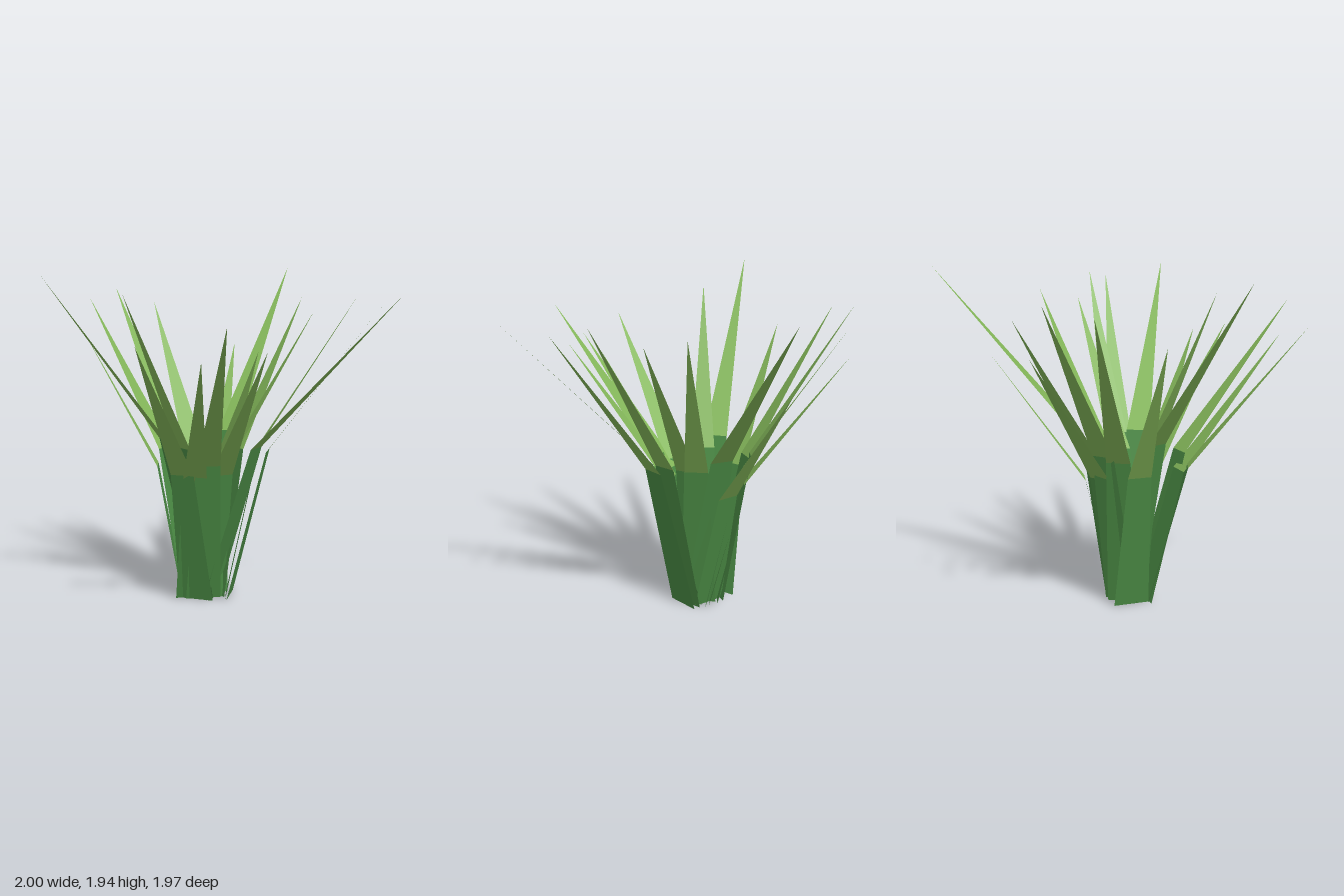
import * as THREE from 'three';

// Each blade: base x, base z, tip x, tip y, tip z
const BLADES = [
  [-0.12, 0.035, -0.63, 1.94, -0.99],
  [-0.17, -0.03, -0.63, 1.46, -0.55],
  [-0.11, -0.02, -0.07, 1.78, -0.65],
  [-0.11, 0.07, 0.17, 1.72, -0.55],
  [-0.04, -0.05, 0.45, 1.85, -0.67],
  [-0.02, -0.065, 0.65, 1.81, -0.69],
  [-0.09, 0.02, 1.0, 1.87, -0.49],
  [-0.1, 0.05, 0.47, 1.54, 0.1],
  [-0.11, 0.03, 0.68, 1.56, 0.2],
  [-0.07, 0.095, 0.81, 1.72, 0.56],
  [-0.11, 0.14, 0.64, 1.53, 0.6],
  [-0.075, 0.145, 0.45, 1.61, 0.88],
  [-0.13, 0.06, -0.11, 1.84, 0.61],
  [-0.147, 0.055, -0.36, 1.94, 0.98],
  [-0.235, 0.135, -0.57, 1.6, 0.6],
  [-0.22, 0.08, -0.89, 1.77, 0.37],
  [-0.22, 0.05, -1.0, 1.83, 0.12],
  [-0.18, 0.02, -0.97, 1.54, 0.01],
  [-0.17, -0.01, -0.94, 1.73, -0.13],
];
const BASE_HALF_WIDTH = 0.105;
const JOINT_HALF_WIDTH = 0.07;

function flatMesh(points, index, material, name) {
  const geometry = new THREE.BufferGeometry().setFromPoints(points);
  geometry.setIndex(index);
  geometry.computeVertexNormals();
  const mesh = new THREE.Mesh(geometry, material);
  mesh.name = name;
  return mesh;
}

export function createModel() {
  const stalkGreen = new THREE.MeshStandardMaterial({ color: 0x4b8c45, side: THREE.DoubleSide });
  stalkGreen.name = 'stalkGreen';
  const tipGreen = new THREE.MeshStandardMaterial({ color: 0x83b659, side: THREE.DoubleSide });
  tipGreen.name = 'tipGreen';

  const model = new THREE.Group();
  model.name = 'grassTuft';

  for (const [bx, bz, tx, ty, tz] of BLADES) {
    const base = new THREE.Vector3(bx, 0, bz);
    const tip = new THREE.Vector3(tx, ty, tz);
    // the blade bends outward halfway up, a quarter of the way out
    const joint = new THREE.Vector3(bx + (tx - bx) / 4, ty / 2, bz + (tz - bz) / 4);
    // width runs level, square to the lean of the blade, and tapers upward
    const side = new THREE.Vector3(tz - bz, 0, bx - tx).normalize();
    const across = (centre, offset) => centre.clone().addScaledVector(side, offset);

    const baseA = across(base, -BASE_HALF_WIDTH), baseB = across(base, BASE_HALF_WIDTH);
    const jointA = across(joint, -JOINT_HALF_WIDTH), jointB = across(joint, JOINT_HALF_WIDTH);

    const blade = new THREE.Group();
    blade.name = 'blade';
    blade.add(
      flatMesh([baseA, baseB, jointB, jointA], [0, 1, 2, 0, 2, 3], stalkGreen, 'bladeStalk'),
      flatMesh([jointA, jointB, tip], [0, 1, 2], tipGreen, 'bladeTip'),
    );
    model.add(blade);
  }
  return model;
}
